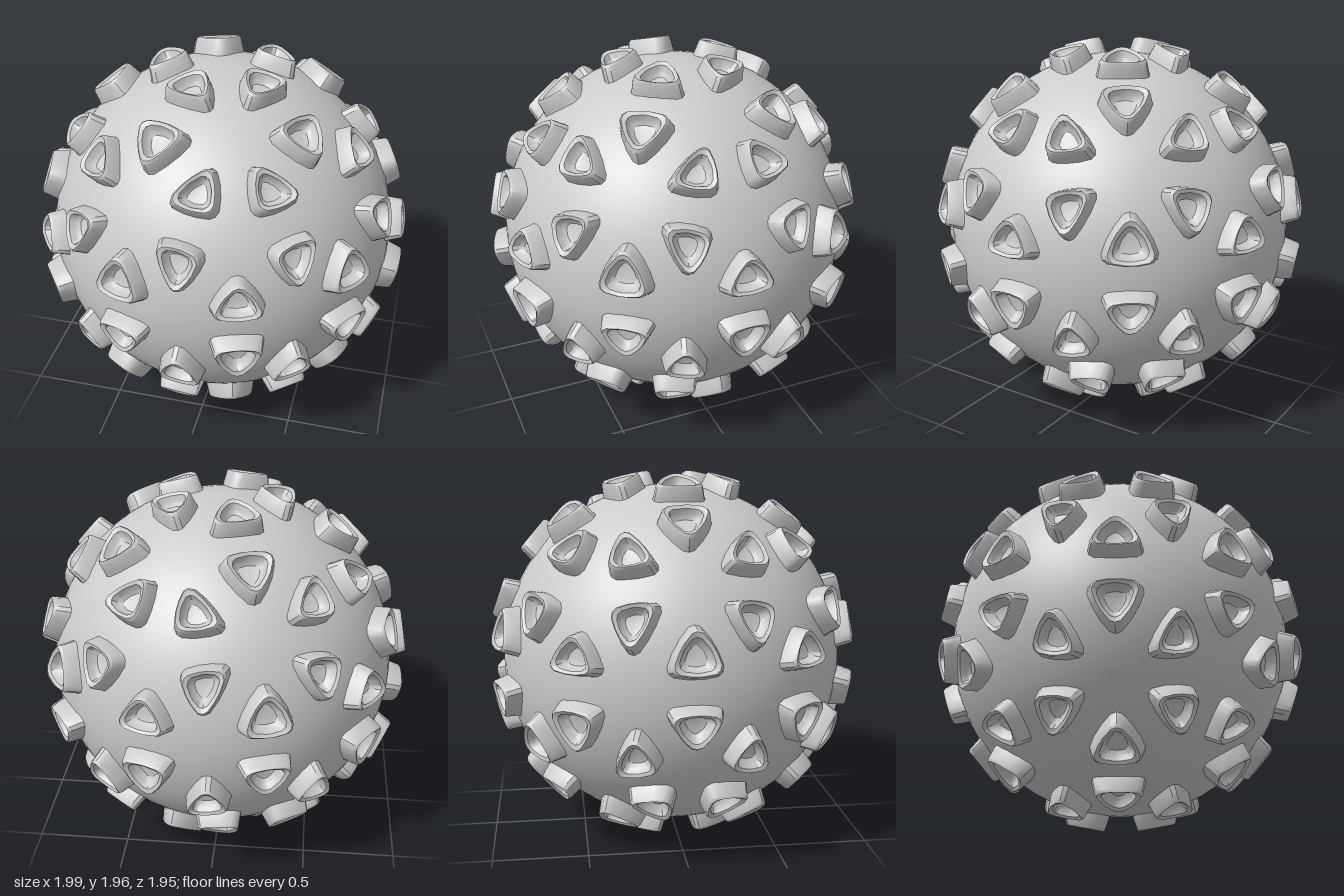
import * as THREE from 'three';
import { toCreasedNormals } from 'three/addons/utils/BufferGeometryUtils.js';

const BODY_RADIUS = 0.92;
const CENTRE_Y = 0.983;

// Knob rings from base to bowl: [height from centre, scale of triangle, corner cut]
const RINGS = [
  [0.895, 0.61, 0.4],
  [0.93, 0.575, 0.4],
  [0.985, 0.525, 0.4],
  [0.997, 0.49, 0.42],
  [0.988, 0.4, 0.46],
  [0.955, 0.345, 0.48],
  [0.937, 0.25, 0.48],
];
const BOWL_FLOOR = 0.93;

// Rounded triangle: each corner is a short quadratic bend
function outline(corners, cut) {
  const points = [];
  for (let i = 0; i < 3; i++) {
    const c = corners[i];
    const start = c.clone().lerp(corners[(i + 2) % 3], cut);
    const end = c.clone().lerp(corners[(i + 1) % 3], cut);
    const bend = new THREE.QuadraticBezierCurve3(start, c, end);
    for (const t of [0, 0.3, 0.5, 0.7, 1]) points.push(bend.getPoint(t));
  }
  return points;
}

// Hollow knob standing on one triangle of the sphere
function knobGeometry(tri) {
  const normal = new THREE.Vector3();
  tri.forEach((v) => normal.add(v));
  normal.normalize();
  const corners = tri.map((v) => v.clone().projectOnPlane(normal));
  const rings = RINGS.map(([height, scale, cut]) =>
    outline(corners, cut).map((p) => p.multiplyScalar(scale).addScaledVector(normal, height)));
  const floor = normal.clone().multiplyScalar(BOWL_FLOOR);

  const positions = [];
  const add = (...pts) => pts.forEach((p) => positions.push(p.x, p.y, p.z));
  const n = rings[0].length;
  for (let j = 0; j < n; j++) {
    const k = (j + 1) % n;
    for (let i = 0; i < rings.length - 1; i++) {
      const [lo, hi] = [rings[i], rings[i + 1]];
      add(lo[j], lo[k], hi[k]);
      add(lo[j], hi[k], hi[j]);
    }
    const last = rings[rings.length - 1];
    add(last[j], last[k], floor);
  }
  const geometry = new THREE.BufferGeometry();
  geometry.setAttribute('position', new THREE.Float32BufferAttribute(positions, 3));
  return toCreasedNormals(geometry, THREE.MathUtils.degToRad(32));
}

// Twenty icosahedron faces with a vertex at each pole
function icosahedronFaces() {
  const ring = (y, turn) => Array.from({ length: 5 }, (_, k) => {
    const a = THREE.MathUtils.degToRad(turn + 72 * k);
    return new THREE.Vector3(2 * Math.cos(a), y, 2 * Math.sin(a)).normalize();
  });
  const top = new THREE.Vector3(0, 1, 0);
  const bottom = new THREE.Vector3(0, -1, 0);
  const upper = ring(1, 0);
  const lower = ring(-1, 36);
  const faces = [];
  for (let k = 0; k < 5; k++) {
    const m = (k + 1) % 5;
    faces.push([top, upper[m], upper[k]]);
    faces.push([upper[k], upper[m], lower[k]]);
    faces.push([lower[k], upper[m], lower[m]]);
    faces.push([bottom, lower[k], lower[m]]);
  }
  return faces;
}

// Splits a face into three corner triangles and a larger middle one
function splitFace([a, b, c]) {
  const mid = (p, q) => p.clone().add(q).normalize();
  const [ab, bc, ca] = [mid(a, b), mid(b, c), mid(c, a)];
  return [[a, ab, ca], [ab, b, bc], [ca, bc, c], [ab, bc, ca]];
}

export function createModel() {
  const material = new THREE.MeshStandardMaterial({ color: 0xcccccc });
  const model = new THREE.Group();
  model.name = 'knobbedBall';

  // Body
  const body = new THREE.Mesh(new THREE.SphereGeometry(BODY_RADIUS, 64, 40), material);
  body.name = 'body';
  body.position.y = CENTRE_Y;
  model.add(body);

  // Eighty knobs
  const knobs = new THREE.Group();
  knobs.name = 'knobs';
  knobs.position.y = CENTRE_Y;
  for (const face of icosahedronFaces()) {
    for (const tri of splitFace(face)) {
      // Keep corners counter-clockwise seen from outside
      const facing = tri[1].clone().sub(tri[0]).cross(tri[2].clone().sub(tri[0])).dot(tri[0]);
      const knob = new THREE.Mesh(knobGeometry(facing > 0 ? tri : [...tri].reverse()), material);
      knob.name = 'knob';
      knobs.add(knob);
    }
  }
  model.add(knobs);
  return model;
}
